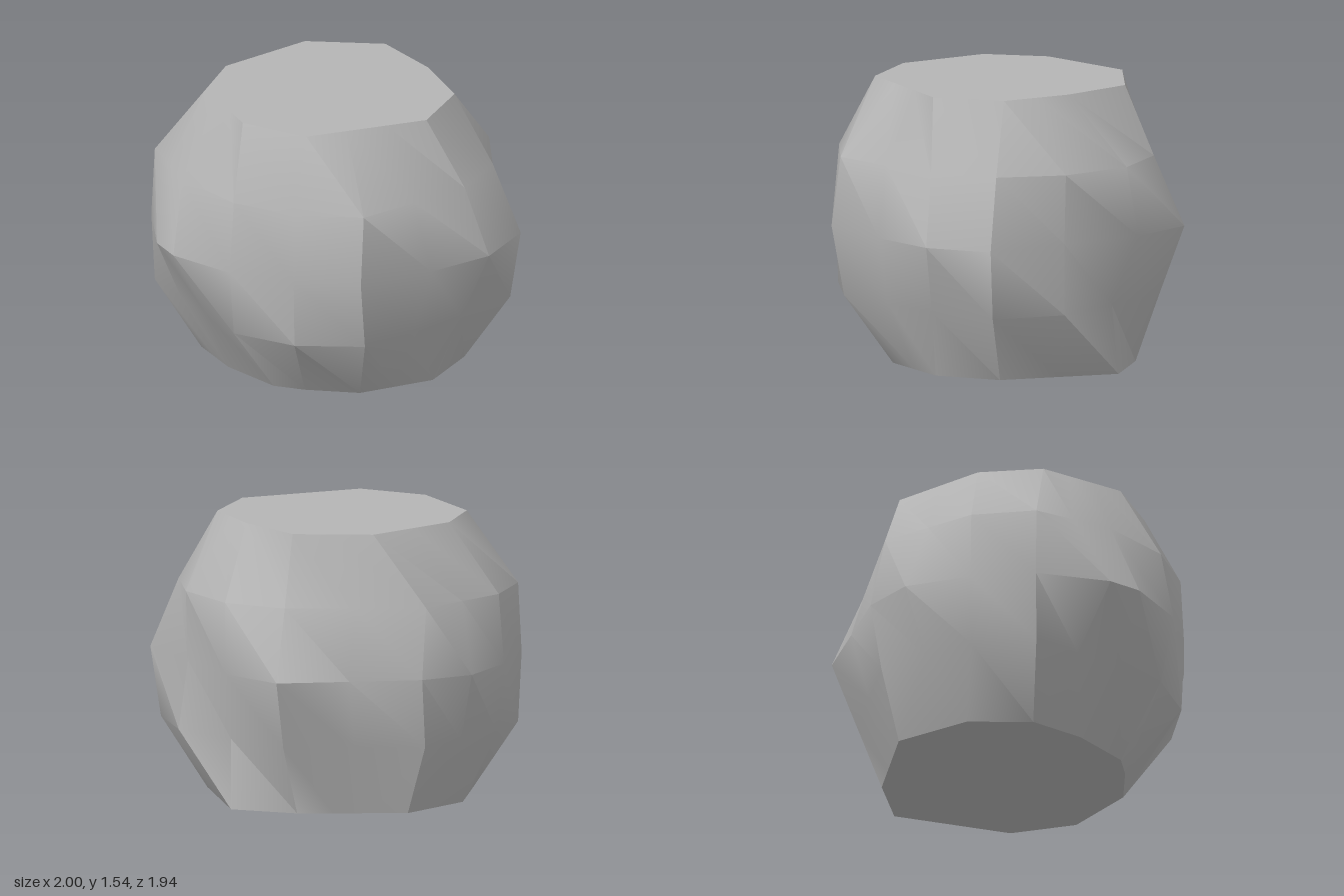
import * as THREE from 'three';
import { toCreasedNormals } from 'three/addons/utils/BufferGeometryUtils.js';

const COLUMNS = 16;
const HEIGHT = 1.54;
const _ = null; // a column lying on the straight edge between its neighbours

// Corners [x, z] of each horizontal section, from the front round by the left (+x)
const base = [[0, .65], [.3, .6], _, [.62, .3], [.68, -.07], _, [.38, -.67], [0, -.69],
  _, _, [-.58, -.52], [-.78, -.12], [-.73, .24], _, [-.5, .47], [-.18, .65]];
const lower = [[.04, .955], [.41, .85], _, [.78, .29], [.94, -.08], [.74, -.44], _, [.04, -.83],
  _, [-.7, -.6], _, [-.96, -.07], [-.98, .29], _, _, [-.33, .89]];
const middle = [[.04, .97], [.41, .92], [.71, .6], [.94, .29], [1, -.08], _, [.38, -.78], [.04, -.97],
  _, [-.7, -.66], [-.92, -.44], [-1, -.07], [-1, .29], [-.84, .68], [-.7, .82], [-.33, .96]];
const upper = [[.04, .95], [.41, .87], _, [.8, .29], [.84, -.08], [.7, -.44], [.4, -.72], [.04, -.8],
  _, [-.7, -.58], _, [-.97, -.07], [-.98, .29], _, [-.7, .66], [-.33, .89]];
const crown = [[.04, .75], _, _, [.59, .32], [.62, -.08], _, [.37, -.39], [.04, -.64],
  _, [-.39, -.54], _, [-.69, -.07], [-.69, .29], _, _, [-.35, .67]];

// Corner of a section at a column, dividing straight edges evenly
function corner(section, column) {
  let before = column;
  let after = column;
  while (!section[before]) before--;
  while (!section[after % COLUMNS]) after++;
  const start = section[before];
  const end = section[after % COLUMNS];
  const t = (column - before) / Math.max(after - before, 1);
  return [THREE.MathUtils.lerp(start[0], end[0], t), THREE.MathUtils.lerp(start[1], end[1], t)];
}

export function createModel() {
  const group = new THREE.Group();
  group.name = 'boulder';
  const stone = new THREE.MeshStandardMaterial({ color: 0xb4b4b4 });
  stone.name = 'stone grey';

  const sections = [base, lower, middle, upper, crown];
  const last = sections.length - 1;
  const positions = [];
  const index = [];
  sections.forEach((section, row) => {
    for (let i = 0; i < COLUMNS; i++) {
      const [x, z] = corner(section, i);
      positions.push(x, HEIGHT * row / last, z);
    }
  });

  // Centres of the flat base and flat top
  const baseCentre = positions.length / 3;
  positions.push(0, 0, 0, 0, HEIGHT, 0);

  for (let i = 0; i < COLUMNS; i++) {
    const j = (i + 1) % COLUMNS;
    // Faceted bands between neighbouring sections
    for (let row = 0; row < last; row++) {
      const a = row * COLUMNS + i;
      const b = row * COLUMNS + j;
      index.push(a, b, a + COLUMNS, b, b + COLUMNS, a + COLUMNS);
    }
    // Base and top fans
    index.push(baseCentre, j, i, baseCentre + 1, last * COLUMNS + i, last * COLUMNS + j);
  }

  const geometry = new THREE.BufferGeometry();
  geometry.setAttribute('position', new THREE.Float32BufferAttribute(positions, 3));
  geometry.setIndex(index);

  // Soft facets, sharp at the strong breaks
  const rock = new THREE.Mesh(toCreasedNormals(geometry, 0.58), stone);
  rock.name = 'rock';
  group.add(rock);
  return group;
}
